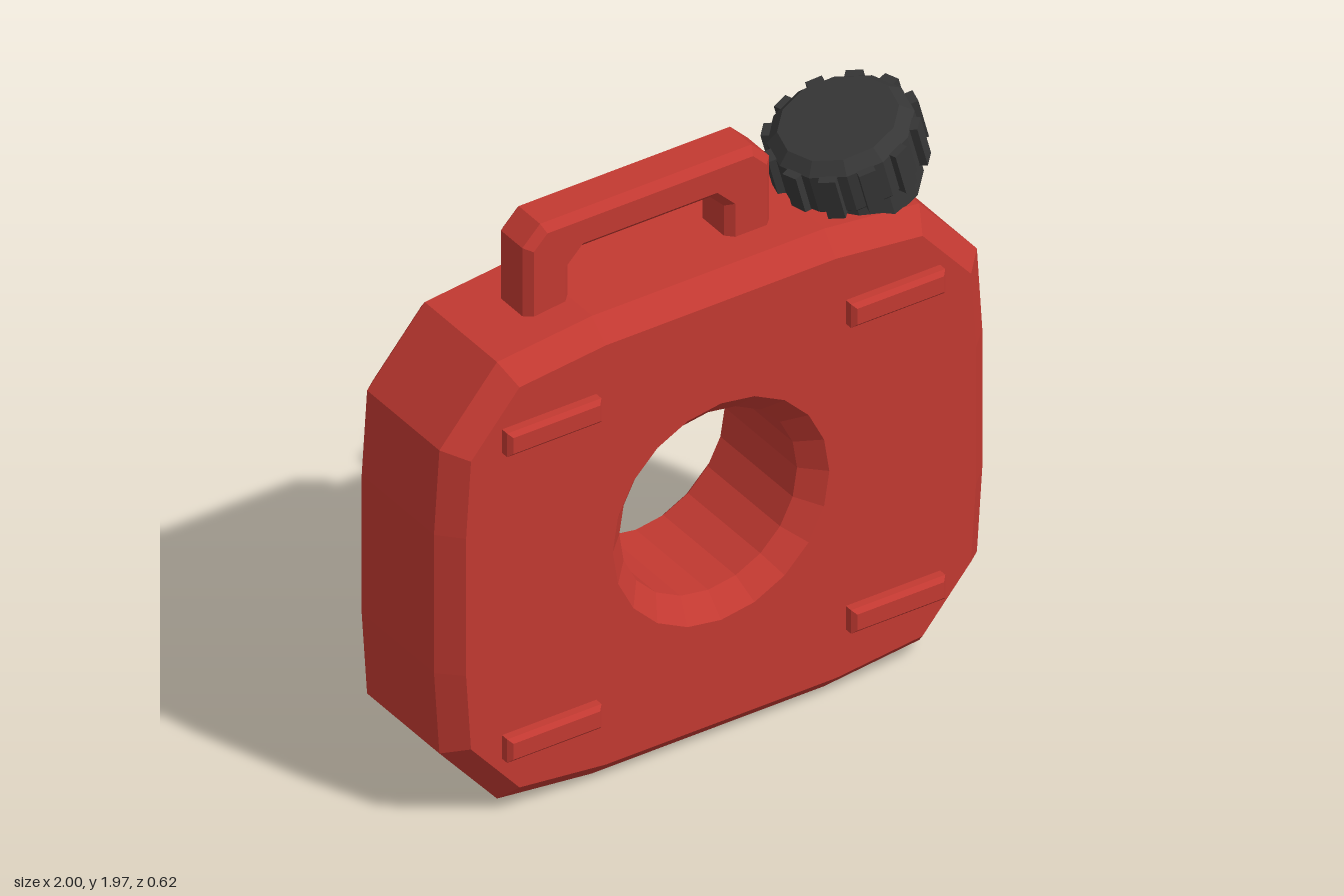
import * as THREE from 'three';

const red = new THREE.MeshStandardMaterial({ color: 0xc23931 });
red.name = 'redPlastic';
const dark = new THREE.MeshStandardMaterial({ color: 0x363636 });
dark.name = 'darkPlastic';

const toVectors = (pts) => pts.map(([x, y]) => new THREE.Vector2(x, y));

// Chamfered slab centred on z: the points give the face outline, and the bevel grows outwards.
function slab(name, shape, halfDepth, bevel) {
  const geometry = new THREE.ExtrudeGeometry(shape, {
    depth: 2 * (halfDepth - bevel), bevelEnabled: true,
    bevelThickness: bevel, bevelSize: bevel, bevelSegments: 1, steps: 1,
  });
  geometry.translate(0, 0, -(halfDepth - bevel));
  const mesh = new THREE.Mesh(geometry, red);
  mesh.name = name;
  return mesh;
}

// Faceted solid turned around y
function turned(name, profile, sides) {
  const geometry = new THREE.LatheGeometry(toVectors(profile), sides).toNonIndexed();
  geometry.computeVertexNormals();
  const mesh = new THREE.Mesh(geometry, dark);
  mesh.name = name;
  return mesh;
}

function createBody() {
  const cy = 0.845;
  // One quarter of the outline, mirrored around the centre
  const quarter = [[0.93, 0.25], [0.912, 0.525], [0.735, 0.73], [0.42, 0.765]];
  const back = [...quarter].reverse();
  const outline = [
    ...quarter.map(([x, y]) => [x, cy + y]),
    ...back.map(([x, y]) => [-x, cy + y]),
    ...quarter.map(([x, y]) => [-x, cy - y]),
    ...back.map(([x, y]) => [x, cy - y]),
  ];
  const shape = new THREE.Shape(toVectors(outline));
  const hole = [];
  for (let i = 0; i < 20; i++) {
    const a = (-i / 20) * Math.PI * 2;
    hole.push([0.395 * Math.cos(a), cy + 0.395 * Math.sin(a)]);
  }
  shape.holes.push(new THREE.Path(toVectors(hole)));
  return slab('body', shape, 0.266, 0.07);
}

function createHandle() {
  return slab('handle', new THREE.Shape(toVectors([
    [0.29, 1.6], [0.29, 1.9], [0.24, 1.95], [-0.51, 1.95], [-0.56, 1.9], [-0.56, 1.6],
    [-0.445, 1.6], [-0.445, 1.8], [-0.38, 1.865], [0.11, 1.865], [0.175, 1.8], [0.175, 1.6],
  ])), 0.083, 0.025);
}

function createCap() {
  const cap = new THREE.Group();
  cap.name = 'cap';
  cap.add(turned('capNeck', [[0, -0.12], [0.17, -0.12], [0.205, -0.09], [0.205, 0.02]], 12));
  cap.add(turned('capLid', [[0, 0], [0.215, 0], [0.23, 0.015], [0.23, 0.155], [0.19, 0.19], [0, 0.19]], 12));
  // Grip ribs, one on each facet
  const ribGeometry = new THREE.BoxGeometry(0.055, 0.15, 0.05);
  for (let i = 0; i < 12; i++) {
    const a = ((i + 0.5) / 12) * Math.PI * 2;
    const rib = new THREE.Mesh(ribGeometry, dark);
    rib.name = 'capRib';
    rib.position.set(0.222 * Math.sin(a), 0.082, 0.222 * Math.cos(a));
    rib.rotation.y = a;
    cap.add(rib);
  }
  cap.position.set(0.655, 1.72, 0);
  cap.rotation.z = THREE.MathUtils.degToRad(15);
  return cap;
}

export function createModel() {
  const model = new THREE.Group();
  model.name = 'fuelCan';
  model.add(createBody(), createHandle(), createCap());

  // Raised pads near the corners of both faces
  const w = 0.158, h = 0.029;
  const padShape = new THREE.Shape(toVectors([[w, -h], [w, h], [-w, h], [-w, -h]]));
  for (const x of [-0.627, 0.627]) {
    for (const y of [0.287, 1.403]) {
      for (const z of [-0.27, 0.27]) {
        const pad = slab('pad', padShape, 0.038, 0.014);
        pad.position.set(x, y, z);
        model.add(pad);
      }
    }
  }
  return model;
}
